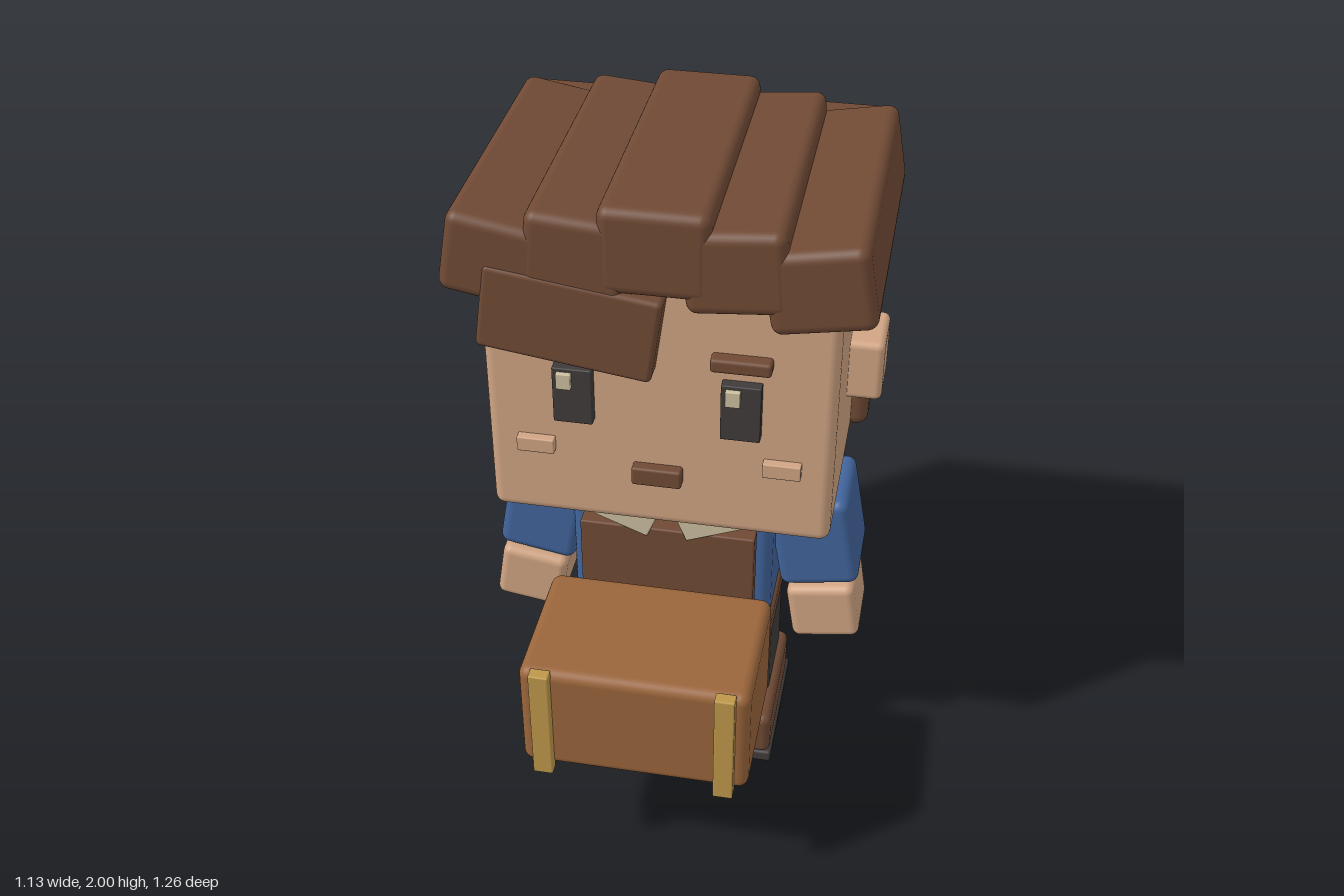
import * as THREE from 'three';
import { RoundedBoxGeometry } from 'three/addons/geometries/RoundedBoxGeometry.js';

const mat = (name, color) => {
  const m = new THREE.MeshStandardMaterial({ color });
  m.name = name;
  return m;
};

export function createModel() {
  const model = new THREE.Group();
  model.name = 'craftsman';

  const brown = mat('brown', 0x704a35);
  const skin = mat('skin', 0xd0a483);
  const blue = mat('blue cloth', 0x41649b);
  const dark = mat('charcoal', 0x403b3b);
  const wood = mat('tan leather', 0x9a653b);
  const gold = mat('brass', 0xbd974a);
  const cream = mat('cream', 0xcbbf9f);

  // Soft-edged box from its x, y and z ranges, turned about z through its centre
  const box = (name, material, [x0, x1], [y0, y1], [z0, z1], radius = 0.025, turn = 0) => {
    const w = x1 - x0, h = y1 - y0, d = z1 - z0;
    const mesh = new THREE.Mesh(
      new RoundedBoxGeometry(w, h, d, 3, Math.min(radius, Math.min(w, h, d) * 0.3)), material);
    mesh.name = name;
    mesh.position.set((x0 + x1) / 2, (y0 + y1) / 2, (z0 + z1) / 2);
    mesh.rotation.z = THREE.MathUtils.degToRad(turn);
    model.add(mesh);
    return mesh;
  };

  // The same box on both sides, mirrored in x
  const pair = (name, material, [x0, x1], y, z, radius, turn = 0) => {
    box(name + 'Left', material, [x0, x1], y, z, radius, turn);
    box(name + 'Right', material, [-x1, -x0], y, z, radius, -turn);
  };

  // Head and ears
  box('head', skin, [-0.47, 0.47], [1.0, 1.82], [-0.55, 0.22], 0.03);
  pair('ear', skin, [0.44, 0.565], [1.28, 1.465], [-0.26, -0.075], 0.02);

  // Hair: back block, five overlapping strips and a slanted fringe
  box('backHair', brown, [-0.52, 0.52], [1.02, 1.91], [-0.63, -0.31], 0.035);
  box('middleHairStrip', brown, [-0.143, 0.143], [1.76, 2.0], [-0.557, 0.283], 0.03);
  pair('innerHairStrip', brown, [0.07, 0.335], [1.73, 1.96], [-0.557, 0.281], 0.03, 5);
  pair('outerHairStrip', brown, [0.275, 0.545], [1.7, 1.93], [-0.555, 0.279], 0.03, 10);
  box('fringe', brown, [-0.455, 0.01], [1.538, 1.782], [0.19, 0.285], 0.015, -8);

  // Face
  for (const x of [-0.225, 0.222]) {
    box('eye', dark, [x - 0.053, x + 0.053], [1.335, 1.505], [0.21, 0.25], 0.004);
    box('eyeHighlight', cream, [x - 0.04, x], [1.447, 1.495], [0.245, 0.263], 0.003);
  }
  pair('eyebrow', brown, [0.14, 0.3], [1.545, 1.585], [0.21, 0.258], 0.01);
  pair('cheek', skin, [0.283, 0.386], [1.22, 1.265], [0.21, 0.246], 0.004);
  box('mouth', brown, [-0.07, 0.066], [1.152, 1.208], [0.21, 0.252], 0.008);

  // Torso, belt and collar
  box('torso', blue, [-0.295, 0.295], [0.42, 0.99], [-0.375, 0.04], 0.035);
  box('belt', brown, [-0.305, 0.305], [0.47, 0.55], [-0.378, 0.068], 0.015);
  box('collarBand', cream, [-0.13, 0.13], [0.88, 1.0], [0.0, 0.054], 0.008);
  pair('collarFlap', cream, [0.035, 0.202], [0.89, 0.975], [0.06, 0.115], 0.006, 22);

  // Apron with its pocket
  box('apron', brown, [-0.255, 0.253], [0.33, 0.885], [0.055, 0.105], 0.006);
  box('apronPocket', brown, [-0.15, 0.15], [0.505, 0.64], [0.1, 0.145], 0.008);

  // Arms and hands
  pair('sleeve', blue, [0.29, 0.525], [0.622, 0.922], [-0.3, -0.035], 0.03, 10);
  pair('hand', skin, [0.347, 0.55], [0.435, 0.625], [-0.25, -0.02], 0.025, 9);

  // Legs and buckled shoes
  pair('leg', dark, [0.042, 0.295], [0.15, 0.45], [-0.31, -0.03], 0.025);
  pair('shoe', brown, [0.018, 0.32], [0.025, 0.175], [-0.325, 0.1], 0.025);
  pair('sole', dark, [0.008, 0.327], [0, 0.04], [-0.335, 0.108], 0.01);
  pair('buckle', gold, [0.118, 0.217], [0.11, 0.178], [0.08, 0.128], 0.006);

  // Carried case with two brass straps
  box('case', wood, [-0.32, 0.32], [0.4, 0.75], [0.18, 0.605], 0.03);
  pair('caseStrap', gold, [0.227, 0.283], [0.39, 0.758], [0.595, 0.632], 0.005);

  return model;
}
